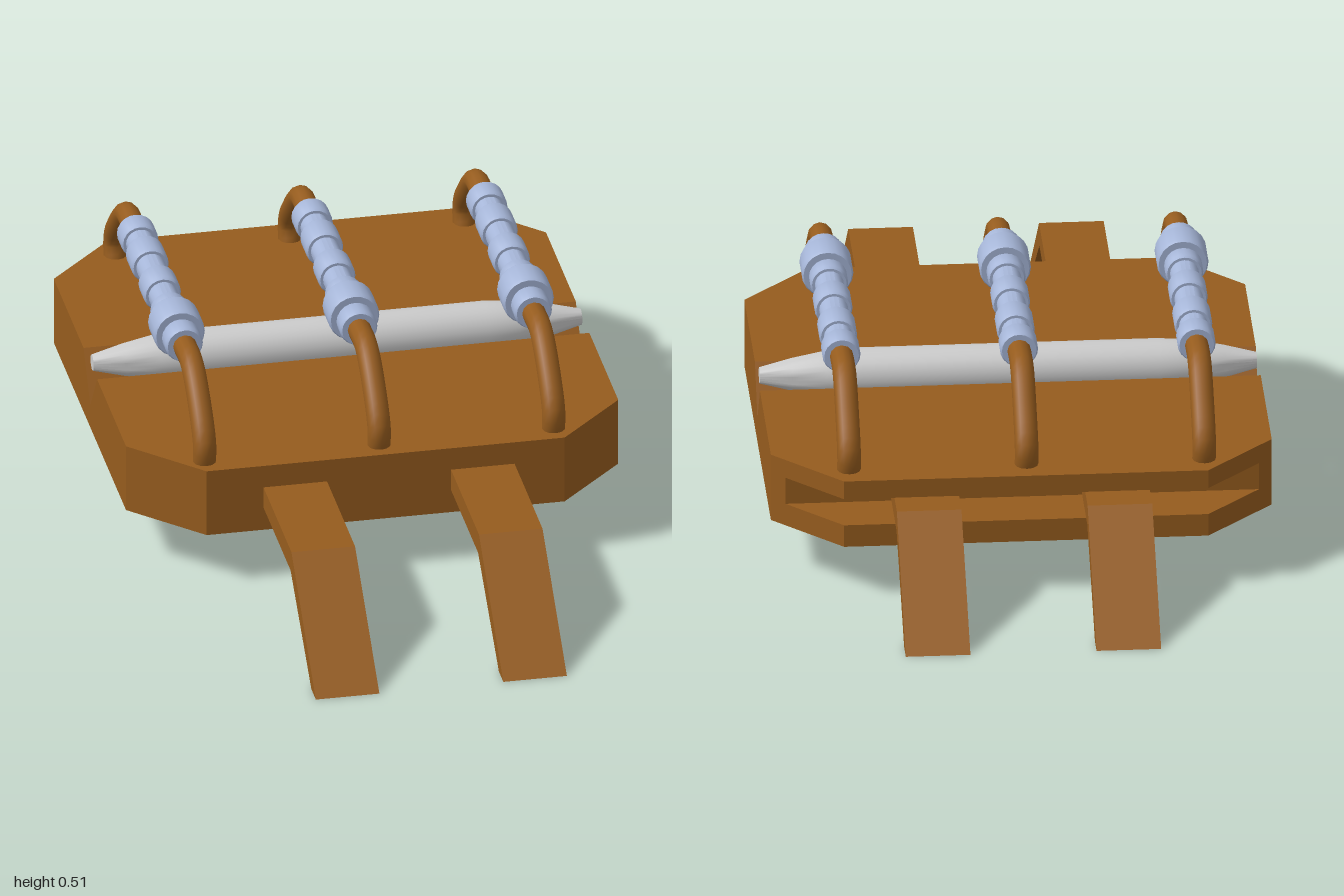
import * as THREE from 'three';
import { toCreasedNormals } from 'three/addons/utils/BufferGeometryUtils.js';
import { ConvexGeometry } from 'three/addons/geometries/ConvexGeometry.js';

const brown = new THREE.MeshStandardMaterial({ color: 0x965c1e });
const blue = new THREE.MeshStandardMaterial({ color: 0xa6b6d8 });
const grey = new THREE.MeshStandardMaterial({ color: 0xcccccc });

function named(name, geometry, material) {
  const mesh = new THREE.Mesh(geometry, material);
  mesh.name = name;
  return mesh;
}

// Extrudes a side profile of [z, y] points along x, centred on x = 0
function extrudeAcross(profile, width) {
  const shape = new THREE.Shape(profile.map(([z, y]) => new THREE.Vector2(z, y)));
  const g = new THREE.ExtrudeGeometry(shape, { depth: width, bevelEnabled: false });
  return g.translate(0, 0, -width / 2).rotateY(-Math.PI / 2);
}

// Half width of the body at depth z: corners are cut at front and back
const halfWidth = (z) => 0.55 - Math.max(0, z - 0.27, -0.53 - z);

function bodySection(name, profile) {
  const g = extrudeAcross(profile, 2);
  const p = g.attributes.position;
  for (let i = 0; i < p.count; i++) p.setX(i, p.getX(i) * halfWidth(p.getZ(i)));
  g.computeVertexNormals();
  return named(name, g, brown);
}

function createBody() {
  const body = new THREE.Group();
  body.name = 'body';
  const low = 0.12, top = 0.278;
  body.add(
    bodySection('bodyFront', [[0.27, low], [0.42, low], [0.42, top], [0.27, top]]),
    // Middle with the V groove for the rod
    bodySection('bodyMiddle', [[-0.53, low], [0.27, low], [0.27, top], [-0.05, top],
      [-0.125, 0.175], [-0.2, top], [-0.53, top]]),
    // Back with the slot for the straps
    bodySection('bodyBack', [[-0.68, low], [-0.53, low], [-0.53, top], [-0.68, top],
      [-0.68, 0.235], [-0.56, 0.235], [-0.56, 0.172], [-0.68, 0.172]])
  );
  // Slightly bevelled underside
  const corners = [];
  for (const [y, inset] of [[low, 0], [0.109, 0.03]]) {
    for (const z of [0.42, 0.27, -0.53, -0.68]) {
      const zi = -0.13 + (z + 0.13) * (1 - inset / 0.55);
      const x = halfWidth(z) * (1 - inset / 0.55);
      corners.push(new THREE.Vector3(x, y, zi), new THREE.Vector3(-x, y, zi));
    }
  }
  body.add(named('underside', new ConvexGeometry(corners), brown));
  return body;
}

// Bent strap passing through the body and down to the ground at both ends
function createStrap(x) {
  const profile = [[-1, 0], [-0.95, 0], [-0.72, 0.175], [0.72, 0.175], [0.95, 0],
    [1, 0], [0.73, 0.225], [-0.73, 0.225]];
  const strap = named('strap', extrudeAcross(profile, 0.142), brown);
  strap.position.x = x;
  return strap;
}

function createRod() {
  const half = [[0, 0.546], [0.018, 0.546], [0.036, 0.475], [0.05, 0.4], [0.055, 0.33]];
  const points = [...half.map(([r, y]) => [r, -y]), ...half.reverse()];
  const g = new THREE.LatheGeometry(points.map(([r, y]) => new THREE.Vector2(r, y)), 24);
  const rod = named('rod', toCreasedNormals(g, 0.6), grey);
  rod.rotation.z = Math.PI / 2;
  rod.position.set(0, 0.28, -0.125);
  return rod;
}

// Bowed cord with a turned, beaded grip along its top
function createHandle(x) {
  const handle = new THREE.Group();
  handle.name = 'handle';
  const path = [[0.26, 0.365], [0.315, 0.374], [0.385, 0.322], [0.447, 0.235], [0.45, 0.15],
    [0.45, -0.4], [0.447, -0.485], [0.385, -0.565], [0.315, -0.622], [0.26, -0.612]];
  const curve = new THREE.CatmullRomCurve3(path.map(([y, z]) => new THREE.Vector3(0, y, z)));
  handle.add(named('cord', new THREE.TubeGeometry(curve, 56, 0.026, 12), brown));

  // Grip steps: start, end, radius; joined by a thin core
  const steps = [[-0.4, -0.34, 0.042], [-0.3, -0.225, 0.042], [-0.16, -0.09, 0.042],
    [-0.03, 0.02, 0.042], [0.02, 0.1, 0.057], [0.1, 0.153, 0.042]];
  const core = 0.032, c = 0.008;
  const points = [[0.02, -0.4]];
  for (const [a, b, r] of steps) {
    points.push([core, a], [r - 0.004, a], [r, a + c], [r, b - c], [r - 0.004, b], [core, b]);
  }
  points.push([0.02, 0.153]);
  const g = new THREE.LatheGeometry(points.map(([r, y]) => new THREE.Vector2(r, y)), 20);
  g.rotateX(Math.PI / 2).translate(0, 0.45, 0);
  handle.add(named('grip', toCreasedNormals(g, 0.6), blue));
  handle.position.x = x;
  return handle;
}

export function createModel() {
  const model = new THREE.Group();
  model.name = 'pack';
  model.add(createBody(), createRod());
  for (const x of [-0.202, 0.217]) model.add(createStrap(x));
  for (const x of [-0.395, -0.005, 0.385]) model.add(createHandle(x));
  return model;
}
